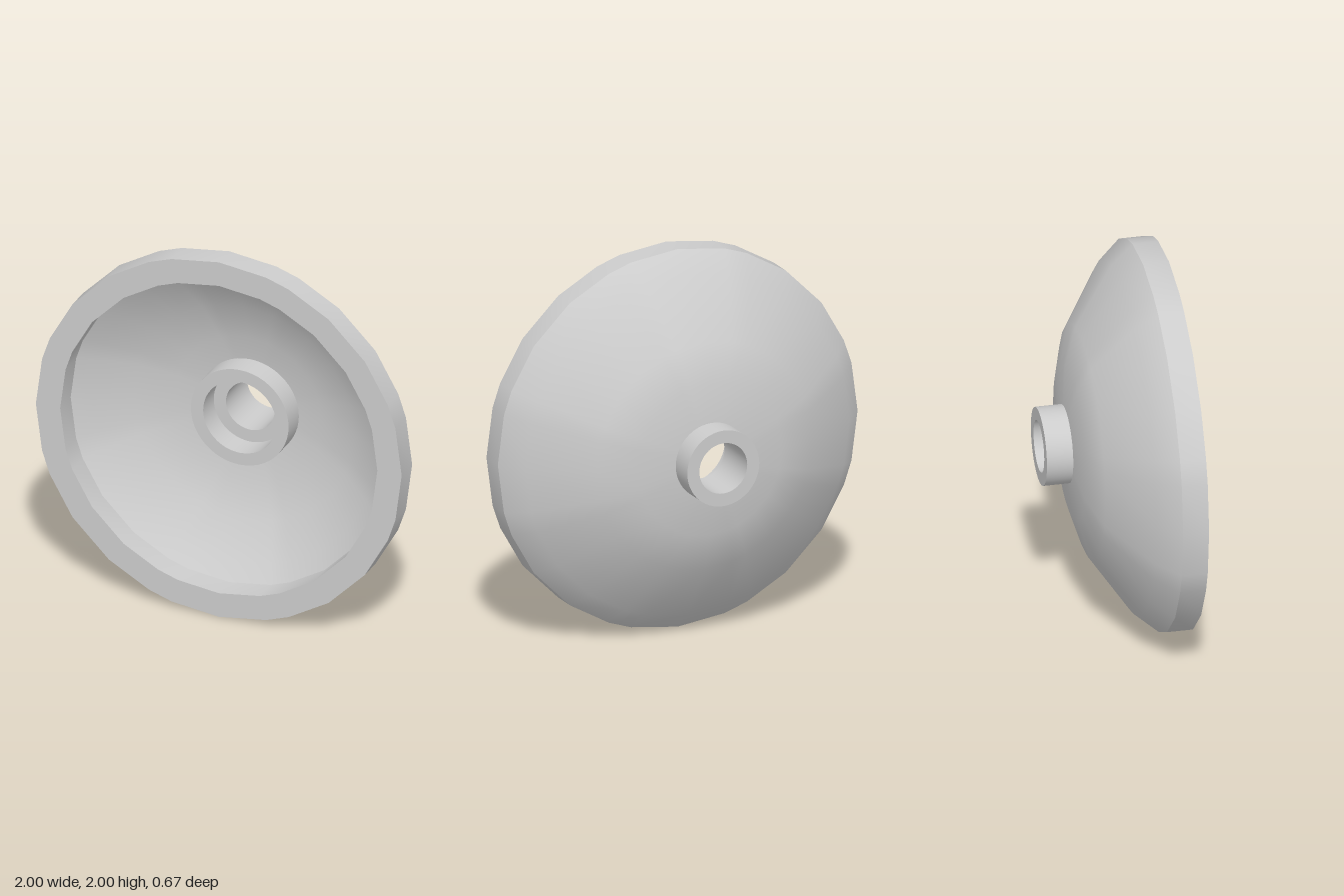
import * as THREE from 'three';

const material = new THREE.MeshStandardMaterial({ color: 0xcccccc });

// Uneven steps of the faceted dish outline, and even steps for the round boss
const quarter = [0, 15, 22.5, 36.9, 53.1, 67.5, 75];
const dishAngles = [0, 90, 180, 270].flatMap(q => quarter.map(a => q + a));
const roundAngles = Array.from({ length: 48 }, (_, i) => i * 7.5);

// Revolves a [radius, z] profile about the z axis; smooth within one profile
function revolve(profile, angles) {
  const n = angles.length, positions = [], index = [];
  for (const [r, z] of profile) {
    for (const deg of angles) {
      const a = THREE.MathUtils.degToRad(deg);
      positions.push(r * Math.cos(a), 1 + r * Math.sin(a), z);
    }
  }
  for (let i = 0; i < profile.length - 1; i++) {
    for (let j = 0; j < n; j++) {
      const k = (j + 1) % n;
      const a = i * n + j, b = a + n, c = i * n + k, d = c + n;
      index.push(a, b, c, b, d, c);
    }
  }
  const geometry = new THREE.BufferGeometry();
  geometry.setAttribute('position', new THREE.Float32BufferAttribute(positions, 3));
  geometry.setIndex(index);
  geometry.computeVertexNormals();
  return geometry;
}

export function createModel() {
  const model = new THREE.Group();

  const addPart = (name, angles, profiles) => {
    const part = new THREE.Group();
    part.name = name;
    for (const [label, profile] of Object.entries(profiles)) {
      const mesh = new THREE.Mesh(revolve(profile, angles), material);
      mesh.name = label;
      part.add(mesh);
    }
    model.add(part);
  };

  // Flat-faced rim
  addPart('rim', dishAngles, {
    rimFront: [[0.867, 0.333], [1, 0.333]],
    rimOuterWall: [[1, 0.333], [1, 0.2]],
    rimInnerWall: [[0.867, 0.2], [0.867, 0.333]],
  });

  // Curved bowl, back and front skins
  addPart('bowl', dishAngles, {
    bowlBack: [[1, 0.2], [0.9, 0.085], [0.6, -0.115], [0.4, -0.178], [0.18, -0.2]],
    bowlInside: [[0.24, -0.067], [0.4, -0.045], [0.6, 0.015], [0.78, 0.13], [0.867, 0.2]],
  });

  // Hollow stem behind the bowl
  addPart('stem', roundAngles, {
    stemWall: [[0.2, -0.18], [0.2, -0.333]],
    stemEnd: [[0.2, -0.333], [0.133, -0.333]],
    stemBore: [[0.133, -0.333], [0.133, -0.067]],
  });

  // Raised collar with a stepped recess inside the bowl
  addPart('collar', roundAngles, {
    recessFloor: [[0.133, -0.067], [0.2, -0.067]],
    recessWall: [[0.2, -0.067], [0.2, 0.067]],
    collarFace: [[0.2, 0.067], [0.267, 0.067]],
    collarWall: [[0.267, 0.067], [0.267, -0.075]],
  });

  return model;
}
